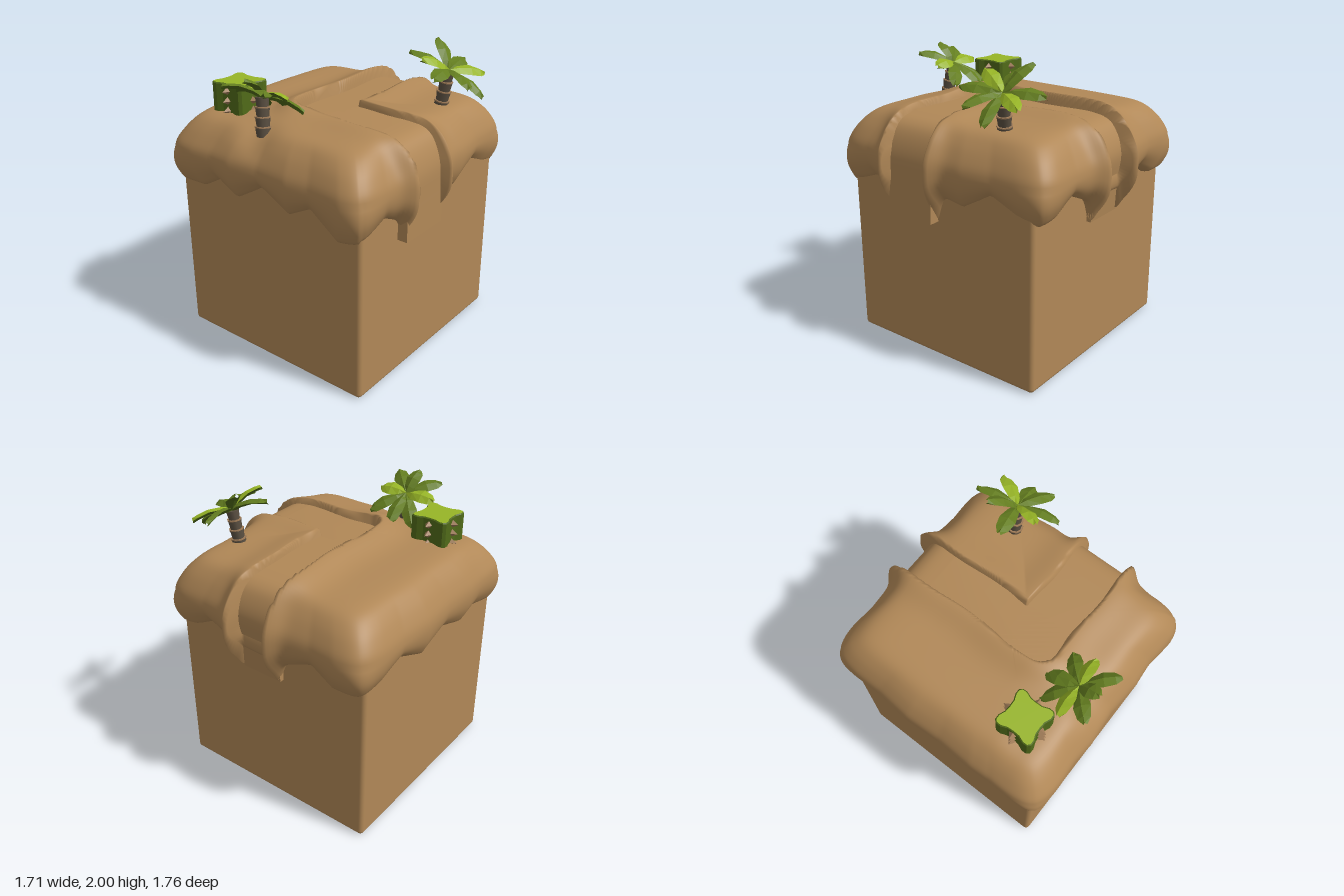
import * as THREE from 'three';
import { toCreasedNormals } from 'three/addons/utils/BufferGeometryUtils.js';
import { RoundedBoxGeometry } from 'three/addons/geometries/RoundedBoxGeometry.js';

const V = (x, y, z) => new THREE.Vector3(x, y, z);
const { lerp, smoothstep } = THREE.MathUtils;
const mat = (name, color) => Object.assign(new THREE.MeshStandardMaterial({ color }), { name });
const sand = mat('sand', 0xb18857);
const lime = mat('lime green', 0x97b526);
const leafGreen = mat('leaf green', 0x657f20);
const green = mat('dark green', 0x506a19);
const bark = mat('bark', 0x5b5042);
const tan = mat('tan', 0xa07c58);

function add(parent, name, geometry, material) {
  const mesh = new THREE.Mesh(geometry, material);
  mesh.name = name;
  parent.add(mesh);
  return mesh;
}

// Signed distance to the L-shaped path with rounded corners, negative inside it
function boxDistance(x, z, x0, x1, z0, z1) {
  const r = 0.12;
  const dx = Math.max(x0 + r - x, x - x1 + r), dz = Math.max(z0 + r - z, z - z1 + r);
  return Math.hypot(Math.max(dx, 0), Math.max(dz, 0)) + Math.min(Math.max(dx, dz), 0) - r;
}
function pathDistance(x, z) {
  x += 0.01 * Math.sin(z * 9);
  z += 0.01 * Math.sin(x * 11);
  return Math.min(boxDistance(x, z, -0.15, 0.13, -2, 0.385), boxDistance(x, z, -0.15, 2, 0.05, 0.385));
}

// Height of the scalloped lower rim along each side: [position, y]
const rims = [
  [[-0.8, 1.12], [-0.62, 1.16], [-0.43, 1.24], [-0.2, 1.13], [0, 1.16], [0.4, 1.1], [0.6, 1.18], [0.85, 1.1]],
  [[-0.85, 1.12], [-0.6, 1.13], [-0.44, 1.21], [-0.27, 1.13], [-0.04, 1.25], [0.2, 1.14], [0.38, 1.22], [0.6, 1.08], [0.77, 1.1]],
  [[-0.8, 1.13], [-0.6, 1.15], [-0.4, 1.22], [-0.15, 1.13], [0.1, 1.21], [0.35, 1.14], [0.5, 1.19], [0.85, 1.12]],
  [[-0.85, 1.13], [-0.62, 1.13], [-0.45, 1.22], [-0.2, 1.13], [0.2, 1.14], [0.42, 1.23], [0.6, 1.15], [0.77, 1.12]],
];
function rimHeight(side, p) {
  const rim = rims[side];
  let i = 0;
  while (i < rim.length - 2 && p > rim[i + 1][0]) i++;
  const [[p0, y0], [p1, y1]] = [rim[i], rim[i + 1]];
  return lerp(y0, y1, THREE.MathUtils.clamp((p - p0) / (p1 - p0), 0, 1));
}

// Drooping sand cap: loops from the centre to the rim, with raised banks along the path
function capGeometry() {
  const perSide = 80, cols = perSide * 4, rows = 64;
  const curve = new THREE.CatmullRomCurve3([[0, 1.605], [0.4, 1.61], [0.75, 1.6], [0.83, 1.575], [0.9, 1.52],
    [0.95, 1.46], [0.99, 1.39], [1, 1.33], [0.99, 1.24], [0.96, 1.17], [0.92, 1.12], [0.8, 1.125]].map(([k, y]) => V(k, y, 0)));
  const positions = [], index = [];
  for (let i = 0; i <= rows; i++) {
    const { x: k0, y: y0 } = curve.getPointAt(i / rows);
    const tangent = curve.getTangentAt(i / rows);
    const lower = Math.max(0, (1.35 - y0) / 0.23);
    const onSide = smoothstep(k0, 0.75, 0.95);
    const fade = 1 - smoothstep(lower, 0.25, 1);
    const power = lerp(10, 20, Math.min(lower, 1));
    for (let j = 0; j < cols; j++) {
      const side = Math.floor(j / perSide), f = (j % perSide) / (perSide / 2) - 1;
      const [a, b] = [[1, f], [-f, 1], [-1, -f], [f, -1]][side];
      const [ax, az] = [[1, 0], [0, 1], [-1, 0], [0, -1]][side];
      const round = Math.pow(Math.abs(a) ** power + Math.abs(b) ** power, -1 / power);
      const halfX = 0.81 * (1 - 0.02 * smoothstep(-b, 0.2, 0.9));
      const ex = -0.04 + a * round * halfX, ez = 0.02 + b * round * 0.835;
      let rim = rimHeight(side, ax ? ez : ex);
      const k = k0 * round * (1 + (1.17 - rim) * 0.2 * onSide);
      const x = -0.04 + a * k * halfX, z = 0.02 + b * k * 0.835;
      const d = pathDistance(x, z), edge = pathDistance(ex, ez);
      if (edge >= 0) rim = lerp(rim, 0.98, Math.exp(-((edge / 0.05) ** 2)));
      const crest = 0.04 + 0.035 * Math.exp(-(((x + 0.13) / 0.2) ** 2));
      const bank = lerp(crest * Math.exp(-((d / 0.15) ** 2)), 0.075 * Math.exp(-((d / 0.075) ** 2)), onSide);
      const push = fade * lerp(-0.06, bank, smoothstep(d, -0.02, 0.008));
      // Soft hollows around the front palm and the cactus
      const hollow = 0.045 * Math.exp(-(((x + 0.13) / 0.13) ** 2) - (((z - 0.72) / 0.1) ** 2))
        + 0.015 * smoothstep(z, 0.4, 0.6) * smoothstep(-x, 0.2, 0.5);
      const y = lower > 0 ? 1.35 - lower * (1.35 - rim) : y0 - hollow * smoothstep(y0, 1.35, 1.5);
      const out = -tangent.y * push;
      positions.push(x + ax * out, y + tangent.x * push, z + az * out);
      if (i < rows) {
        const n = (j + 1) % cols, p = i * cols, q = p + cols;
        index.push(p + j, p + n, q + j, p + n, q + n, q + j);
      }
    }
  }
  const g = new THREE.BufferGeometry();
  g.setAttribute('position', new THREE.Float32BufferAttribute(positions, 3));
  g.setIndex(index);
  g.computeVertexNormals();
  return g;
}

// Strip of path that folds over the edge of the block and ends at the foot
function pathStrip(start, width, foot) {
  const shape = new THREE.Shape();
  shape.moveTo(start, 1.5);
  shape.lineTo(0.6, 1.4);
  shape.lineTo(0.6, 0.98);
  shape.lineTo(foot, 0.98);
  shape.splineThru([[(foot + 0.77) / 2, 1.2], [0.765, 1.38], [0.71, 1.52], [0.63, 1.585], [0.5, 1.605]].map(([x, y]) => new THREE.Vector2(x, y)));
  shape.lineTo(start, 1.605);
  return toCreasedNormals(new THREE.ExtrudeGeometry(shape, { depth: width, bevelEnabled: false, curveSegments: 5 }), 0.6);
}

// One side of a folded leaf, lofted from base to tip
function leafGeometry(base, tip, up, rib, flip) {
  const dir = tip.clone().sub(base);
  const side = dir.clone().cross(up).normalize();
  const normal = side.clone().cross(dir).normalize();
  const positions = [], index = [];
  [[0, 0.018], [0.25, 0.038], [0.58, 0.054], [0.85, 0.042], [1, 0.012]].forEach(([t, w], i) => {
    const mid = base.clone().addScaledVector(dir, t).addScaledVector(normal, 0.025 * Math.sin(Math.PI * t));
    for (const s of [-1, 0, 1]) {
      const p = mid.clone().addScaledVector(side, s * w).addScaledVector(normal, s ? 0 : rib);
      positions.push(p.x, p.y, p.z);
    }
    if (i < 4) for (const a of [i * 3, i * 3 + 1]) {
      const tris = [a, a + 1, a + 4, a, a + 4, a + 3];
      index.push(...(flip ? tris.reverse() : tris));
    }
  });
  const g = new THREE.BufferGeometry();
  g.setAttribute('position', new THREE.Float32BufferAttribute(positions, 3));
  g.setIndex(index);
  const flat = g.toNonIndexed();
  flat.computeVertexNormals();
  return flat;
}

function palm(name, base, crown, up, tips, brightLeaves) {
  const group = new THREE.Group();
  group.name = name;
  const axis = crown.clone().sub(base);
  const turn = new THREE.Quaternion().setFromUnitVectors(V(0, 1, 0), axis.clone().normalize());
  const length = axis.length() / 4;
  for (let i = 0; i < 4; i++) {
    const r = 0.05 - i * 0.002;
    const segment = add(group, 'trunkSegment', new THREE.CylinderGeometry(r, r * 0.84, length, 9), bark);
    segment.position.copy(base).addScaledVector(axis, (i + 0.5) / 4);
    segment.quaternion.copy(turn);
    if (i === 3) continue;
    const ring = add(group, 'trunkRing', new THREE.CylinderGeometry(r + 0.002, r + 0.002, 0.008, 9), tan);
    ring.position.copy(base).addScaledVector(axis, (i + 1) / 4);
    ring.quaternion.copy(turn);
  }
  tips.forEach((tip, i) => {
    const top = brightLeaves.includes(i) ? lime : leafGreen;
    add(group, 'leafTop', leafGeometry(crown, V(...tip), up, 0.018, false), top);
    add(group, 'leafUnderside', leafGeometry(crown, V(...tip), up, -0.015, true), green);
  });
  return group;
}

function cactus() {
  const group = new THREE.Group();
  group.name = 'cactus';
  const points = [];
  for (let q = 0; q < 4; q++) {
    for (const [x, y] of [[0.112, 0], [0.114, 0.04], [0.13, 0.08], [0.129, 0.112], [0.112, 0.129], [0.08, 0.13], [0.04, 0.114]])
      points.push(new THREE.Vector2(x, y).rotateAround(new THREE.Vector2(), q * Math.PI / 2));
    // Three thorns in each groove
    for (const y of [0.03, 0.095, 0.16]) {
      const thorn = add(group, 'thorn', new THREE.ConeGeometry(0.028, 0.046, 4).toNonIndexed().rotateZ(-Math.PI / 2), tan);
      thorn.geometry.computeVertexNormals();
      thorn.geometry.translate(0.132, y, 0).rotateY(q * Math.PI / 2);
    }
  }
  const body = new THREE.ExtrudeGeometry(new THREE.Shape(points),
    { depth: 0.2, bevelSize: 0.007, bevelOffset: -0.007, bevelThickness: 0.007, bevelSegments: 1 });
  add(group, 'cactusBody', body.rotateX(-Math.PI / 2), [lime, green]);
  group.position.set(-0.49, 1.57, 0.495);
  return group;
}

export function createModel() {
  const model = new THREE.Group();
  model.name = 'desertBlock';
  add(model, 'block', new RoundedBoxGeometry(1.49, 1.3, 1.49, 4, 0.03), sand).position.set(-0.035, 0.65, 0.035);
  add(model, 'sandCap', capGeometry(), sand);
  add(model, 'pathToLeft', pathStrip(-0.15, 0.38, 0.78), sand).position.z = 0.03;
  const backPath = add(model, 'pathToBack', pathStrip(-0.35, 0.3, 0.72), sand);
  backPath.rotation.y = Math.PI / 2;
  backPath.position.set(-0.16, 0, -0.02);
  model.add(cactus());

  model.add(palm('frontPalm', V(-0.12, 1.53, 0.675), V(-0.15, 1.77, 0.64), V(0, 1, -0.6),
    [[-0.165, 1.9, 0.78], [0.02, 1.85, 0.81], [0.045, 1.78, 0.62], [0.03, 1.66, 0.47],
      [-0.17, 1.64, 0.41], [-0.31, 1.62, 0.48], [-0.37, 1.77, 0.64], [-0.33, 1.84, 0.8]], [2, 6]));
  model.add(palm('backPalm', V(0.5, 1.56, -0.345), V(0.54, 1.82, -0.36), V(0.55, 1, 0),
    [[0.49, 1.83, -0.64], [0.68, 1.78, -0.58], [0.78, 1.68, -0.4], [0.77, 1.77, -0.24],
      [0.6, 1.84, -0.08], [0.46, 1.93, -0.16], [0.28, 1.92, -0.3], [0.38, 1.99, -0.47]], [1, 5]));
  return model;
}
